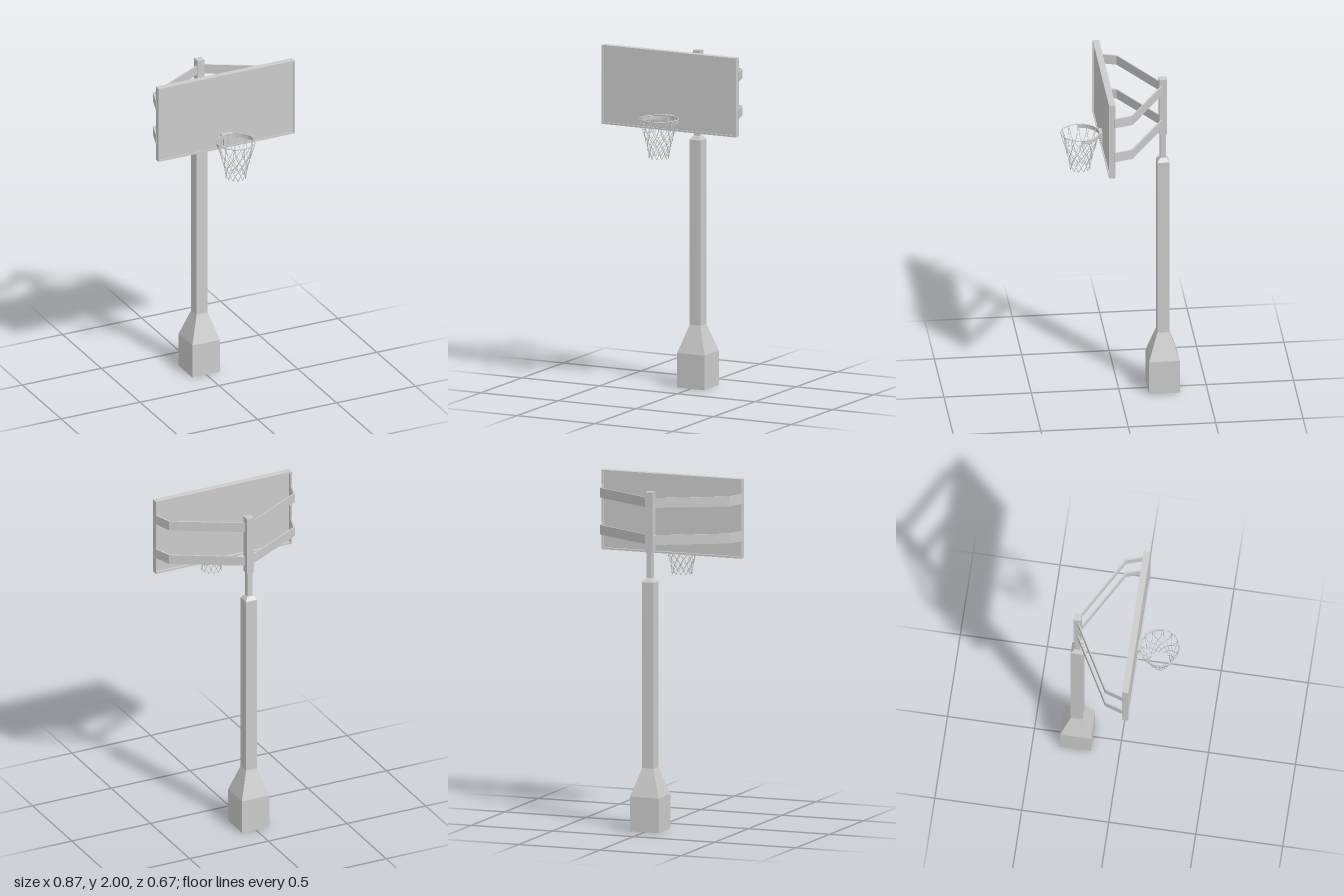
import * as THREE from 'three';

const flat = new THREE.MeshStandardMaterial({ color: 0xcccccc, flatShading: true });
const smooth = new THREE.MeshStandardMaterial({ color: 0xcccccc });
const thin = new THREE.MeshStandardMaterial({ color: 0xcccccc, side: THREE.DoubleSide });

const POLE_Z = -0.252;
const HOOP_Z = 0.221, HOOP_Y = 1.631, HOOP_R = 0.11;

function add(parent, name, geometry, material = flat) {
  const mesh = new THREE.Mesh(geometry, material);
  mesh.name = name;
  parent.add(mesh);
  return mesh;
}

function box(parent, name, x0, x1, y0, y1, z0, z1) {
  const mesh = add(parent, name, new THREE.BoxGeometry(x1 - x0, y1 - y0, z1 - z0));
  mesh.position.set((x0 + x1) / 2, (y0 + y1) / 2, (z0 + z1) / 2);
  return mesh;
}

// Square post section that may taper; h0 and h1 are half widths
function post(parent, name, y0, y1, h0, h1) {
  const g = new THREE.CylinderGeometry(h1 * Math.SQRT2, h0 * Math.SQRT2, y1 - y0, 4);
  g.rotateY(Math.PI / 4);
  add(parent, name, g).position.set(0, (y0 + y1) / 2, POLE_Z);
}

function makePole() {
  const pole = new THREE.Group();
  pole.name = 'pole';
  post(pole, 'base', 0, 0.2, 0.088, 0.088);
  post(pole, 'baseTaper', 0.2, 0.36, 0.088, 0.035);
  post(pole, 'lowerPole', 0.36, 1.432, 0.035, 0.035);
  post(pole, 'collar', 1.432, 1.455, 0.035, 0.018);
  post(pole, 'innerPole', 1.455, 1.61, 0.016, 0.016);
  post(pole, 'upperPole', 1.602, 1.95, 0.022, 0.022);
  return pole;
}

function makeBackboard() {
  const board = new THREE.Group();
  board.name = 'backboard';
  const W = 0.432, Y0 = 1.542, Y1 = 2, Z0 = 0.065, Z1 = 0.102, T = 0.01;
  // Rectangular frame with an open middle
  const frame = new THREE.Shape([[-W, Y0], [W, Y0], [W, Y1], [-W, Y1]].map(p => new THREE.Vector2(...p)));
  const x = W - T, a = Y0 + T, b = Y1 - T;
  frame.holes.push(new THREE.Path([[-x, a], [-x, b], [x, b], [x, a]].map(p => new THREE.Vector2(...p))));
  const g = new THREE.ExtrudeGeometry(frame, { depth: Z1 - Z0, bevelEnabled: false });
  add(board, 'frame', g.translate(0, 0, Z0));
  // Recessed panel
  box(board, 'panel', -x, x, a, b, 0.08, 0.096);
  return board;
}

function makeArms() {
  const arms = new THREE.Group();
  arms.name = 'supportArms';
  // Bent strap seen from above as [x, z]: outer edge, then inner edge
  const outline = [[0.02, -0.25], [0.4, -0.036], [0.435, 0.073], [0.425, 0.073], [0.391, -0.031], [0.02, -0.242]];
  for (const side of [-1, 1]) {
    for (const top of [1.914, 1.7]) {
      const shape = new THREE.Shape(outline.map(([x, z]) => new THREE.Vector2(side * x, z)));
      const g = new THREE.ExtrudeGeometry(shape, { depth: 0.056, bevelEnabled: false });
      add(arms, side > 0 ? 'leftArm' : 'rightArm', g.rotateX(Math.PI / 2)).position.y = top;
    }
  }
  return arms;
}

function makeHoop() {
  const hoop = new THREE.Group();
  hoop.name = 'hoop';
  const ring = new THREE.TorusGeometry(HOOP_R, 0.0032, 8, 48).rotateX(Math.PI / 2);
  add(hoop, 'rim', ring, smooth).position.set(0, HOOP_Y, HOOP_Z);
  // Curved brace under the rear half of the rim
  const brace = new THREE.CylinderGeometry(HOOP_R, HOOP_R, 0.024, 24, 1, true, Math.PI / 2, Math.PI);
  add(hoop, 'rimBrace', brace, thin).position.set(0, HOOP_Y - 0.012, HOOP_Z);
  // Mounting plate and bolts
  box(hoop, 'mountingPlate', -0.036, 0.032, 1.605, 1.635, 0.096, 0.113);
  box(hoop, 'lowerPlate', -0.02, 0.02, 1.56, 1.605, 0.096, 0.104);
  box(hoop, 'rearPlate', -0.025, 0.025, 1.565, 1.635, 0.077, 0.08);
  for (const x of [-0.012, 0.012]) {
    const bolt = new THREE.CylinderGeometry(0.004, 0.004, 0.008, 8).rotateX(Math.PI / 2);
    add(hoop, 'bolt', bolt, smooth).position.set(x, 1.572, 0.106);
  }
  return hoop;
}

function makeNet() {
  const net = new THREE.Group();
  net.name = 'net';
  const N = 12, step = Math.PI / N;
  // Each row is [half steps around, radius, height]; the long top row hangs in loops
  const rows = [
    [0, 0.11, 1.631], [0.18, 0.104, 1.605], [0.3, 0.094, 1.57], [1, 0.083, 1.532],
    [2, 0.075, 1.502], [3, 0.067, 1.47], [4, 0.061, 1.438], [5, 0.057, 1.405],
  ];
  for (let i = 0; i < N; i++) {
    for (const dir of [-1, 1]) {
      const points = rows.map(([n, r, y]) => {
        const angle = 2 * step * i + dir * n * step;
        return new THREE.Vector3(r * Math.sin(angle), y, HOOP_Z + r * Math.cos(angle));
      });
      const curve = new THREE.CatmullRomCurve3(points);
      add(net, 'netStrand', new THREE.TubeGeometry(curve, 32, 0.0018, 5), smooth);
    }
  }
  return net;
}

export function createModel() {
  const model = new THREE.Group();
  model.name = 'basketballHoop';
  model.add(makePole(), makeBackboard(), makeArms(), makeHoop(), makeNet());
  return model;
}
